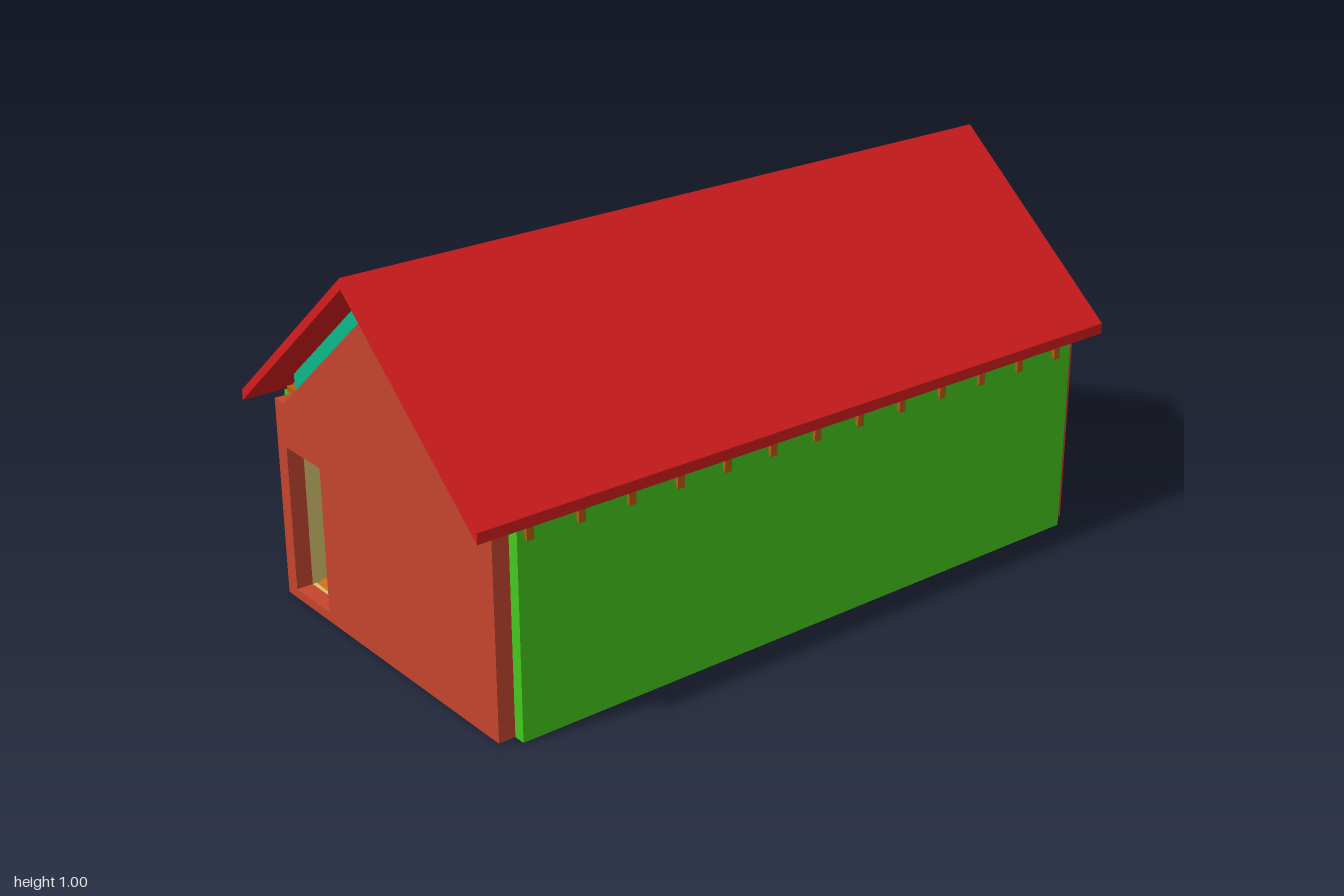
import * as THREE from 'three';

const SLOPE = 0.843;
const material = (color) => new THREE.MeshStandardMaterial({ color, flatShading: true });
const brick = material(0xc4452d), green = material(0x45c81f), red = material(0xd41c1c);
const teal = material(0x0cb88a), blue = material(0x1a4fd0), timber = material(0xb85c14);
const orange = material(0xd0701c), ochre = material(0xcc8510), tan = material(0xd9c46e);
const glass = material(0x7cb0d8);

export function createModel() {
  const house = new THREE.Group();
  house.name = 'house';

  const add = (name, geometry, mat) => {
    const mesh = new THREE.Mesh(geometry, mat);
    mesh.name = name;
    house.add(mesh);
    return mesh;
  };
  // Box given by its limits on each axis
  const box = (name, mat, [x0, x1], [y0, y1], [z0, z1]) =>
    add(name, new THREE.BoxGeometry(x1 - x0, y1 - y0, z1 - z0), mat)
      .position.set((x0 + x1) / 2, (y0 + y1) / 2, (z0 + z1) / 2);
  // Outline in x and y, drawn out from z0 to z1
  const prism = (name, mat, points, z0, z1, openings = []) => {
    const shape = new THREE.Shape(points.map(([x, y]) => new THREE.Vector2(x, y)));
    for (const [x0, x1] of openings) {
      shape.holes.push(new THREE.Path([[x0, 0.025], [x0, 0.42], [x1, 0.42], [x1, 0.025]]
        .map(([x, y]) => new THREE.Vector2(x, y))));
    }
    const geometry = new THREE.ExtrudeGeometry(shape, { depth: z1 - z0, bevelEnabled: false });
    add(name, geometry.translate(0, 0, z0), mat);
  };
  // Layer following the roof pitch; top and bottom are its heights at the ridge
  const slopeLayer = (name, mat, side, x0, x1, top, bottom, z0, z1) => prism(name, mat, [
    [side * x0, top - SLOPE * x0], [side * x1, top - SLOPE * x1],
    [side * x1, bottom - SLOPE * x1], [side * x0, bottom - SLOPE * x0],
  ], z0, z1);

  // Floor and its edge beams
  box('floor', orange, [-0.44, 0.44], [0.002, 0.025], [-0.89, 0.89]);
  box('leftSill', brick, [0.44, 0.47], [0, 0.025], [-0.89, 0.89]);
  box('rightSill', brick, [-0.455, -0.44], [0, 0.025], [-0.89, 0.89]);

  // Gable walls with door openings and inner lining
  const gable = [[-0.473, 0], [0.473, 0], [0.473, 0.54], [0.427, 0.54], [0, 0.9],
    [-0.427, 0.54], [-0.473, 0.54]];
  const lining = [[-0.44, 0.025], [0.44, 0.025], [0.44, 0.53], [0, 0.89], [-0.44, 0.53]];
  const door = [-0.43, -0.27], backDoor = [0.15, 0.31];
  prism('frontGableWall', brick, gable, 0.89, 0.935, [door]);
  prism('backGableWall', brick, gable, -0.935, -0.89, [door, backDoor]);
  // The lining outline starts at the sill, so doorways are cut just above it
  const liningLow = lining.map(([x, y]) => [x, y === 0.025 ? 0.012 : y]);
  prism('frontLining', tan, liningLow, 0.865, 0.89, [door]);
  prism('backLining', tan, liningLow, -0.89, -0.865, [door, backDoor]);

  // Solid long wall
  box('leftWall', green, [0.47, 0.505], [0, 0.54], [-0.89, 0.89]);
  box('leftWallLining', ochre, [0.45, 0.47], [0.025, 0.54], [-0.89, 0.89]);

  // Open framed long wall: rails, end panels and middle posts
  box('bottomRail', green, [-0.505, -0.47], [0, 0.03], [-0.89, 0.89]);
  box('topRail', green, [-0.505, -0.47], [0.505, 0.54], [-0.89, 0.89]);
  for (const s of [-1, 1]) {
    const span = (a, b) => (s > 0 ? [a, b] : [-b, -a]);
    box('endPanel', green, [-0.505, -0.47], [0.03, 0.505], span(0.795, 0.89));
    box('endPanelLining', tan, [-0.47, -0.445], [0.025, 0.54], span(0.795, 0.89));
    box('endPost', brick, [-0.47, -0.445], [0, 0.54], span(0.775, 0.795));
    box('middlePost', green, [-0.505, -0.47], [0.03, 0.505], span(0.355, 0.4));
    box('innerPost', brick, [-0.47, -0.44], [0, 0.54], span(0.355, 0.4));
    box('sideWindow', glass, [-0.458, -0.45], [0.035, 0.44], span(0.4, 0.775));
  }
  box('middleWindow', glass, [-0.458, -0.45], [0.035, 0.44], [-0.355, 0.355]);

  // Roof covering, insulation, wall plates and rafters
  for (const side of [-1, 1]) {
    slopeLayer('roofSlope', red, side, 0, 0.516, 1, 0.972, -1, 1);
    slopeLayer('roofInsulation', teal, side, 0, 0.43, 0.971, side < 0 ? 0.922 : 0.903, -0.9, 0.9);
    box('wallPlate', timber, side < 0 ? [-0.49, -0.44] : [0.44, 0.49], [0.54, 0.555], [-0.89, 0.89]);
    for (let i = 0; i < 13; i++) {
      const z = 0.86 - i * 0.1408;
      slopeLayer('rafter', timber, side, 0.01, 0.514, 0.9715, 0.938, z - 0.01, z + 0.01);
    }
  }
  slopeLayer('ceilingSheet', blue, -1, 0.025, 0.43, 0.911, 0.9, -0.89, 0.89);

  return house;
}
